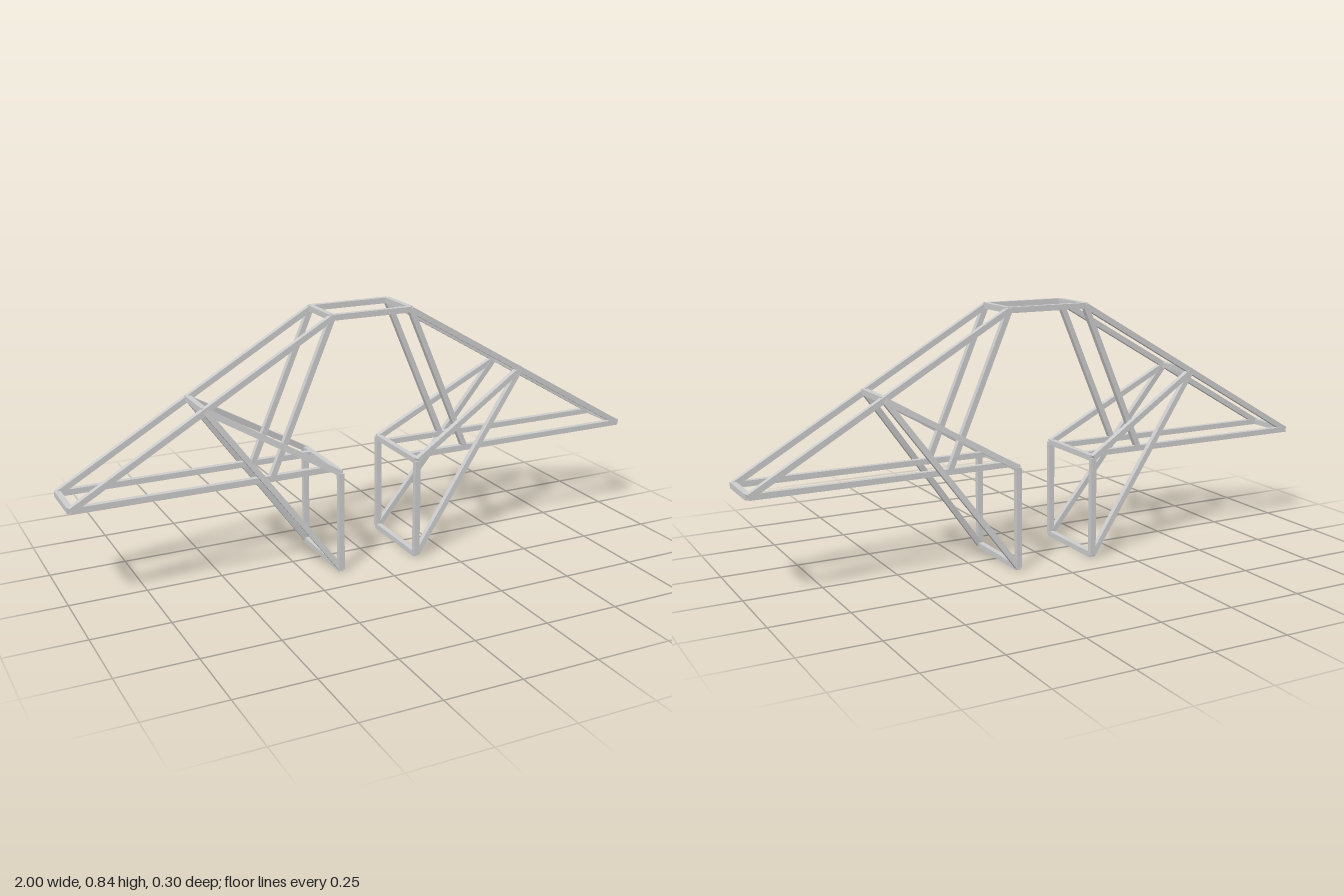
import * as THREE from 'three';

const T = 0.0185; // bar thickness
const material = new THREE.MeshStandardMaterial({ color: 0xcccccc, flatShading: true });

// Square bar running from a to b, with one pair of faces kept towards the z axis
function bar(name, a, b) {
  const start = new THREE.Vector3(...a);
  const end = new THREE.Vector3(...b);
  const dir = end.clone().sub(start);
  const length = dir.length();
  dir.normalize();
  const ref = Math.abs(dir.z) > 0.9 ? new THREE.Vector3(1, 0, 0) : new THREE.Vector3(0, 0, 1);
  const side = new THREE.Vector3().crossVectors(dir, ref).normalize();
  const depth = new THREE.Vector3().crossVectors(side, dir);
  const mesh = new THREE.Mesh(new THREE.BoxGeometry(T, length, T), material);
  mesh.name = name;
  mesh.quaternion.setFromRotationMatrix(new THREE.Matrix4().makeBasis(side, dir, depth));
  mesh.position.copy(start).add(end).multiplyScalar(0.5);
  return mesh;
}

export function createModel() {
  const model = new THREE.Group();
  model.name = 'trussFrame';

  // Joint positions in the x-y plane and the two half depths
  const zTruss = 0.082, zPost = 0.14;
  const ridge = [0.139, 0.835];
  const middle = [0.5645, 0.5875];
  const tip = [0.99, 0.34];
  const chordEnd = [0.139, 0.34];
  const braceFoot = [0.352, 0.34];
  const postFoot = [0.139, 0.0095];

  for (const sx of [1, -1]) {
    const half = new THREE.Group();
    half.name = sx > 0 ? 'leftHalf' : 'rightHalf';
    const at = (p, z) => [sx * p[0], p[1], z];

    // Bars in the front and back planes
    for (const sz of [1, -1]) {
      const zt = sz * zTruss, zp = sz * zPost;
      half.add(
        bar('rafter', at(ridge, zt), at(tip, zt)),
        bar('bottomChord', at(tip, zt), at(chordEnd, zt)),
        bar('innerBrace', at(ridge, zt), at(braceFoot, zt)),
        bar('upperStrut', at(middle, zt), at(chordEnd, zp)),
        bar('lowerStrut', at(middle, zt), at(postFoot, zp)),
        bar('post', at(chordEnd, zp), at(postFoot, zp))
      );
    }

    // Cross bars joining front and back
    const crossBars = [
      ['ridgeCrossBar', ridge, zTruss], ['middleCrossBar', middle, zTruss],
      ['tipCrossBar', tip, zTruss], ['postTopCrossBar', chordEnd, zPost],
      ['postFootCrossBar', postFoot, zPost],
    ];
    for (const [name, p, z] of crossBars) half.add(bar(name, at(p, -z), at(p, z)));
    model.add(half);
  }

  // Top rails linking the two halves
  for (const sz of [1, -1]) {
    model.add(bar('topRail', [-ridge[0], ridge[1], sz * zTruss], [ridge[0], ridge[1], sz * zTruss]));
  }
  return model;
}
